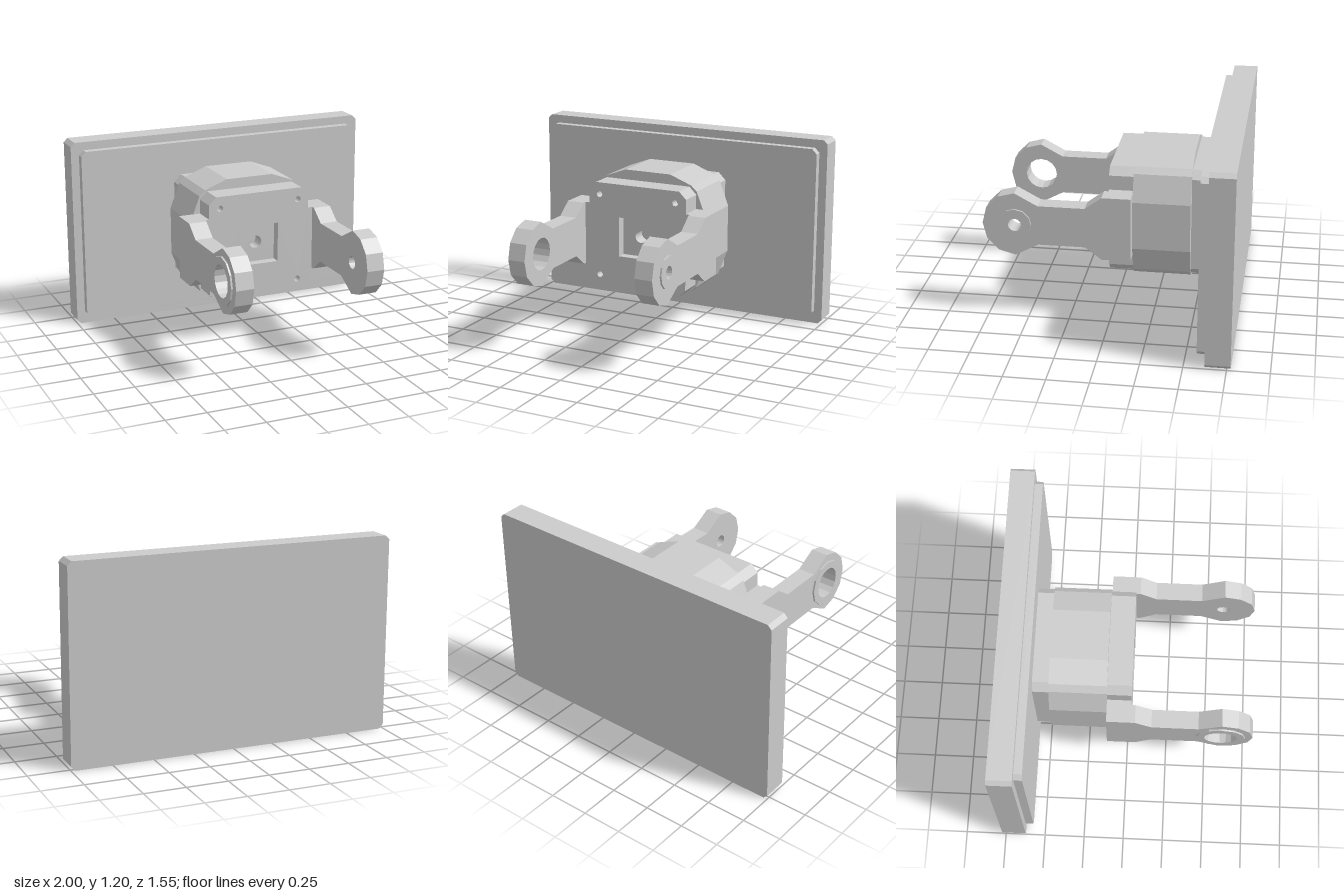
import * as THREE from 'three';

const material = new THREE.MeshStandardMaterial({ color: 0xcccccc, flatShading: true });
const MID = 0.6; // height of the mount axis

// Regular polygon as a list of points
function ring(cx, cy, r, n) {
  return Array.from({ length: n }, (_, i) => {
    const a = (i / n) * Math.PI * 2;
    return new THREE.Vector2(cx + r * Math.cos(a), cy + r * Math.sin(a));
  });
}

// Rectangle with chamfered corners, centred on (0, cy)
function chamfered(hw, hh, c, cy = MID) {
  return [
    [hw - c, hh], [-hw + c, hh], [-hw, hh - c], [-hw, -hh + c],
    [-hw + c, -hh], [hw - c, -hh], [hw, -hh + c], [hw, hh - c],
  ].map(([x, y]) => new THREE.Vector2(x, y + cy));
}

function extrude(name, points, holes, depth) {
  const shape = new THREE.Shape(points);
  shape.holes = holes.map((h) => new THREE.Path(h));
  const mesh = new THREE.Mesh(
    new THREE.ExtrudeGeometry(shape, { depth, bevelEnabled: false }), material);
  mesh.name = name;
  return mesh;
}

// Outline in x, y, running from z0 to z1
function slabZ(name, points, z0, z1, holes = []) {
  const mesh = extrude(name, points, holes, z1 - z0);
  mesh.position.z = z0;
  return mesh;
}

// Outline in z, y, running from x0 to x1
function slabX(name, points, x0, x1, holes = []) {
  const mesh = extrude(name, points, holes, x1 - x0);
  mesh.rotation.y = -Math.PI / 2;
  mesh.position.x = x1;
  return mesh;
}

export function createModel() {
  const model = new THREE.Group();
  model.name = 'swivelMount';

  // Back panel with a raised step
  model.add(slabZ('backPanel', chamfered(1, 0.6, 0.025), -0.773, -0.623));
  model.add(slabZ('panelStep', chamfered(0.948, 0.548, 0.03), -0.623, -0.573));

  // Core block with a square socket, shaft hole and screw holes in its face
  const core = chamfered(0.335, 0.337, 0.047);
  const socket = [[-1, -1], [1, -1], [1, 1], [-1, 1]]
    .map(([x, y]) => new THREE.Vector2(x * 0.126, MID + y * 0.126));
  const screws = [[-1, -1], [1, -1], [1, 1], [-1, 1]]
    .map(([x, y]) => ring(x * 0.262, MID + y * 0.262, 0.02, 12));
  model.add(slabZ('coreBlock', core, -0.573, -0.135));
  model.add(slabZ('shaftLayer', core, -0.135, -0.035, [ring(0, MID, 0.04, 16)]));
  model.add(slabZ('facePlate', core, -0.035, 0.025, [socket, ...screws]));

  // Faceted collar around the core
  const quarter = [[0.4, 0.15], [0.338, 0.31], [0.3, 0.345], [0.155, 0.4]];
  const back = [...quarter].reverse();
  const collar = [
    ...quarter,
    ...back.map(([x, y]) => [-x, y]),
    ...quarter.map(([x, y]) => [-x, -y]),
    ...back.map(([x, y]) => [x, -y]),
  ].map(([x, y]) => new THREE.Vector2(x, MID + y));
  model.add(slabZ('collar', collar, -0.473, -0.124));

  // Fork arms: wide root, narrow neck and twelve-sided eye
  const eyeZ = 0.575;
  const upper = [
    [0.773, 0], [0.748, 0.1], [0.675, 0.173], [0.575, 0.2],
    [0.435, 0.125], [0.15, 0.125], [0.05, 0.2], [-0.124, 0.2],
  ];
  const lower = upper.slice(1).reverse().map(([z, y]) => [z, -y]);
  const armOutline = [...upper, ...lower].map(([z, y]) => new THREE.Vector2(z, MID + y));
  const root = [[-0.124, -0.2], [0.025, -0.2], [0.025, 0.2], [-0.124, 0.2]]
    .map(([z, y]) => new THREE.Vector2(z, MID + y));

  const arms = [
    { name: 'left', side: 1, bore: 0.04, boss: 0.1 },
    { name: 'right', side: -1, bore: 0.1, boss: 0.15 },
  ];
  for (const { name, side, bore, boss } of arms) {
    const part = (label, pts, a, b, holes) =>
      slabX(name + label, pts, side > 0 ? a : -b, side > 0 ? b : -a, holes);
    const hole = ring(eyeZ, MID, bore, 16);
    model.add(part('Arm', armOutline, 0.363, 0.475, [hole]));
    model.add(part('ArmRoot', root, 0.32, 0.363));
    model.add(part('Boss', ring(eyeZ, MID, boss, 12), 0.475, 0.486, [hole]));
  }
  return model;
}
